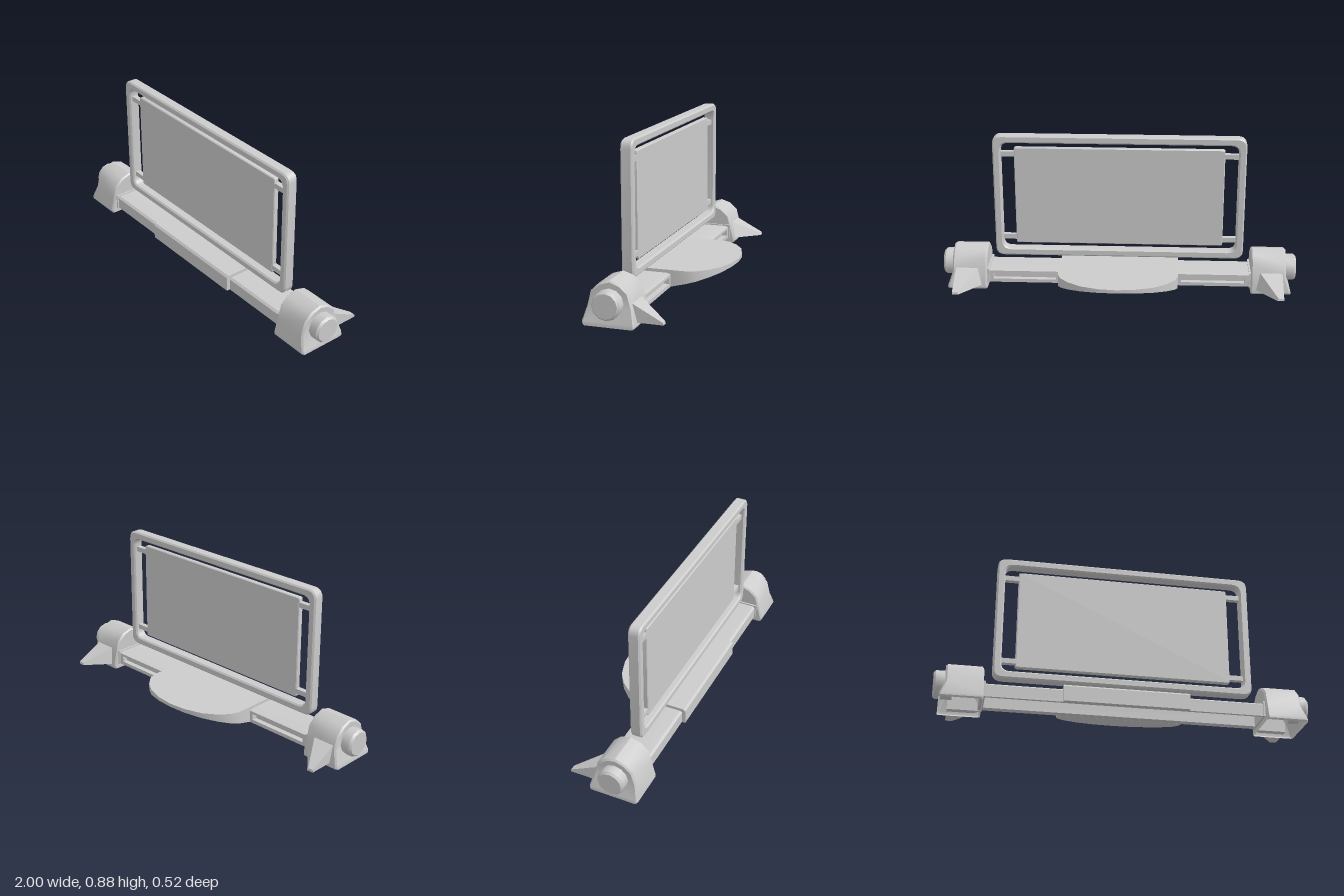
import * as THREE from 'three';
import { toCreasedNormals } from 'three/addons/utils/BufferGeometryUtils.js';

const material = new THREE.MeshStandardMaterial({ color: 0xcccccc, side: THREE.DoubleSide });
const AXIS_Z = 0.12;

function part(name, geometry, crease = 0.5) {
  const mesh = new THREE.Mesh(toCreasedNormals(geometry, crease), material);
  mesh.name = name;
  return mesh;
}

function box(name, x0, x1, y0, y1, z0, z1) {
  const g = new THREE.BoxGeometry(x1 - x0, y1 - y0, z1 - z0);
  return part(name, g.translate((x0 + x1) / 2, (y0 + y1) / 2, (z0 + z1) / 2));
}

// Rounded rectangle centred on x = 0
function roundRect(target, w, y0, y1, r) {
  target.moveTo(-w + r, y0);
  target.lineTo(w - r, y0).quadraticCurveTo(w, y0, w, y0 + r);
  target.lineTo(w, y1 - r).quadraticCurveTo(w, y1, w - r, y1);
  target.lineTo(-w + r, y1).quadraticCurveTo(-w, y1, -w, y1 - r);
  target.lineTo(-w, y0 + r).quadraticCurveTo(-w, y0, -w + r, y0);
  return target;
}

// Plate in the xy plane, centred on the upright's depth
function plate(shape, thickness, bevel) {
  const depth = thickness - 2 * bevel;
  return new THREE.ExtrudeGeometry(shape, {
    depth, bevelThickness: bevel, bevelSize: bevel, bevelOffset: -bevel, bevelSegments: 1, curveSegments: 5,
  }).translate(0, 0, AXIS_Z - depth / 2);
}

// Profile of [z, y] points swept along x from -half to +half
function sweep(points, half) {
  const shape = new THREE.Shape(points.map(([z, y]) => new THREE.Vector2(z, y)));
  return new THREE.ExtrudeGeometry(shape, { depth: 2 * half, bevelEnabled: false })
    .rotateY(-Math.PI / 2).translate(half, 0, 0);
}

// Triangle soup from quads
function quads(list) {
  const pos = [];
  for (const [a, b, c, d] of list) pos.push(...a, ...b, ...c, ...a, ...c, ...d);
  const g = new THREE.BufferGeometry();
  g.setAttribute('position', new THREE.Float32BufferAttribute(pos, 3));
  g.computeVertexNormals();
  return g;
}

// Arched end housing, open underneath, its outer face flaring at the foot
function housingGeometry() {
  const rows = [[0.131, 0], [0.137, 0.008], [0.137, 0.022], [0.118, 0.095], [0.099, 0.17],
    [0.057, 0.21], [0, 0.228]]; // half depth, height
  const outerX = (y) => 0.94 + Math.max(0, 0.095 - Math.max(y, 0.015)) * 0.36;
  const stations = [[() => 0.745, 0.008], [() => 0.753, 0], [(y) => outerX(y) - 0.009, 0], [outerX, 0.008]];
  const point = (s, r, side) => {
    const [h, y] = rows[r];
    const [x, inset] = stations[s];
    return [x(y), y > 0.1 ? y - inset * (y - 0.1) / 0.128 : y, AXIS_Z + side * Math.max(0, h - inset)];
  };
  const list = [];
  for (let r = 0; r < rows.length - 1; r++) {
    for (let s = 0; s < 3; s++) {
      list.push([point(s, r, 1), point(s + 1, r, 1), point(s + 1, r + 1, 1), point(s, r + 1, 1)]);
      list.push([point(s + 1, r, -1), point(s, r, -1), point(s, r + 1, -1), point(s + 1, r + 1, -1)]);
    }
    list.push([point(3, r, 1), point(3, r, -1), point(3, r + 1, -1), point(3, r + 1, 1)]);
    list.push([point(0, r, -1), point(0, r, 1), point(0, r + 1, 1), point(0, r + 1, -1)]);
  }
  return quads(list);
}

// Tapered rear foot between a wide root and a small tip
function finGeometry() {
  const root = [[0.745, 0.025, 0.02], [0.92, 0.025, 0.02], [0.92, 0.125, 0.02], [0.79, 0.125, 0.02]];
  const tip = [[0.885, 0.025, -0.15], [0.92, 0.025, -0.15], [0.92, 0.038, -0.147], [0.888, 0.038, -0.147]];
  const list = [[tip[0], tip[3], tip[2], tip[1]], root];
  for (let i = 0; i < 4; i++) {
    const j = (i + 1) % 4;
    list.push([root[j], root[i], tip[i], tip[j]]);
  }
  return quads(list);
}

// Round end knob pointing along +x
function knobGeometry() {
  const profile = [[0, 0.9], [0.075, 0.9], [0.075, 0.988], [0.064, 1], [0, 1]];
  return new THREE.LatheGeometry(profile.map(([r, h]) => new THREE.Vector2(r, h)), 12)
    .rotateZ(-Math.PI / 2).translate(0, 0.115, AXIS_Z);
}

// Rounded rear tongue, thinning towards its tip
function tongueGeometry() {
  const edge = [[0.335, -0.02], [0.335, 0.065], [0.318, 0.115], [0.27, 0.17], [0.2, 0.218], [0.1, 0.25], [0, 0.26]];
  const outline = [...edge, ...edge.slice(0, -1).reverse().map(([x, s]) => [-x, s])];
  const shape = new THREE.Shape(outline.map(([x, s]) => new THREE.Vector2(x, s)));
  const g = new THREE.ExtrudeGeometry(shape, { depth: 0.122, bevelEnabled: false }).rotateX(-Math.PI / 2);
  const p = g.attributes.position;
  for (let i = 0; i < p.count; i++) {
    if (p.getY(i) < 0.06) p.setY(i, 0.035 - 0.26 * p.getZ(i));
  }
  g.computeVertexNormals();
  return g;
}

export function createModel() {
  const model = new THREE.Group();
  model.name = 'panelStand';

  // Upright frame and the panel held inside it
  const frame = roundRect(new THREE.Shape(), 0.7, 0.168, 0.877, 0.05);
  frame.holes.push(roundRect(new THREE.Path(), 0.657, 0.211, 0.834, 0.045));
  model.add(part('frame', plate(frame, 0.064, 0.008)));
  model.add(part('panel', plate(roundRect(new THREE.Shape(), 0.583, 0.24, 0.805, 0.012), 0.03, 0.004)));

  // Base rail: hollow below, with a groove along the back
  model.add(part('baseRail', sweep([
    [0.215, 0.03], [0.215, 0.095], [0.203, 0.105], [0.045, 0.105], [0.02, 0.099], [0.02, 0.085],
    [0.05, 0.085], [0.05, 0.05], [0.02, 0.05], [0.02, 0.03], [0.06, 0.03], [0.06, 0.09], [0.2, 0.09], [0.2, 0.03],
  ], 0.76)));

  // Centre cover wrapped over the rail, and its tongue
  model.add(part('centreCover', sweep([
    [0.015, 0.122], [0.224, 0.122], [0.235, 0.111], [0.235, 0.03], [0.215, 0.03], [0.215, 0.1], [0.015, 0.1],
  ], 0.335)));
  model.add(part('tongue', tongueGeometry()));

  // Everything that repeats on both ends
  for (const side of ['left', 'right']) {
    const end = new THREE.Group();
    end.name = side + 'End';
    end.add(part('housing', housingGeometry(), 0.6));
    end.add(part('knob', knobGeometry(), 0.6));
    end.add(part('rearFoot', finGeometry()));
    end.add(box('railCollar', 0.735, 0.76, 0.028, 0.112, 0.012, 0.223));
    end.add(box('grooveStop', 0.71, 0.75, 0.03, 0.098, 0.02, 0.055));
    end.add(box('innerGrooveStop', 0.335, 0.355, 0.03, 0.098, 0.02, 0.055));
    for (const y of [0.275, 0.767]) {
      end.add(box('panelRod', 0.57, 0.67, y - 0.014, y + 0.014, AXIS_Z - 0.014, AXIS_Z + 0.014));
    }
    if (side === 'right') end.scale.x = -1;
    model.add(end);
  }
  return model;
}
